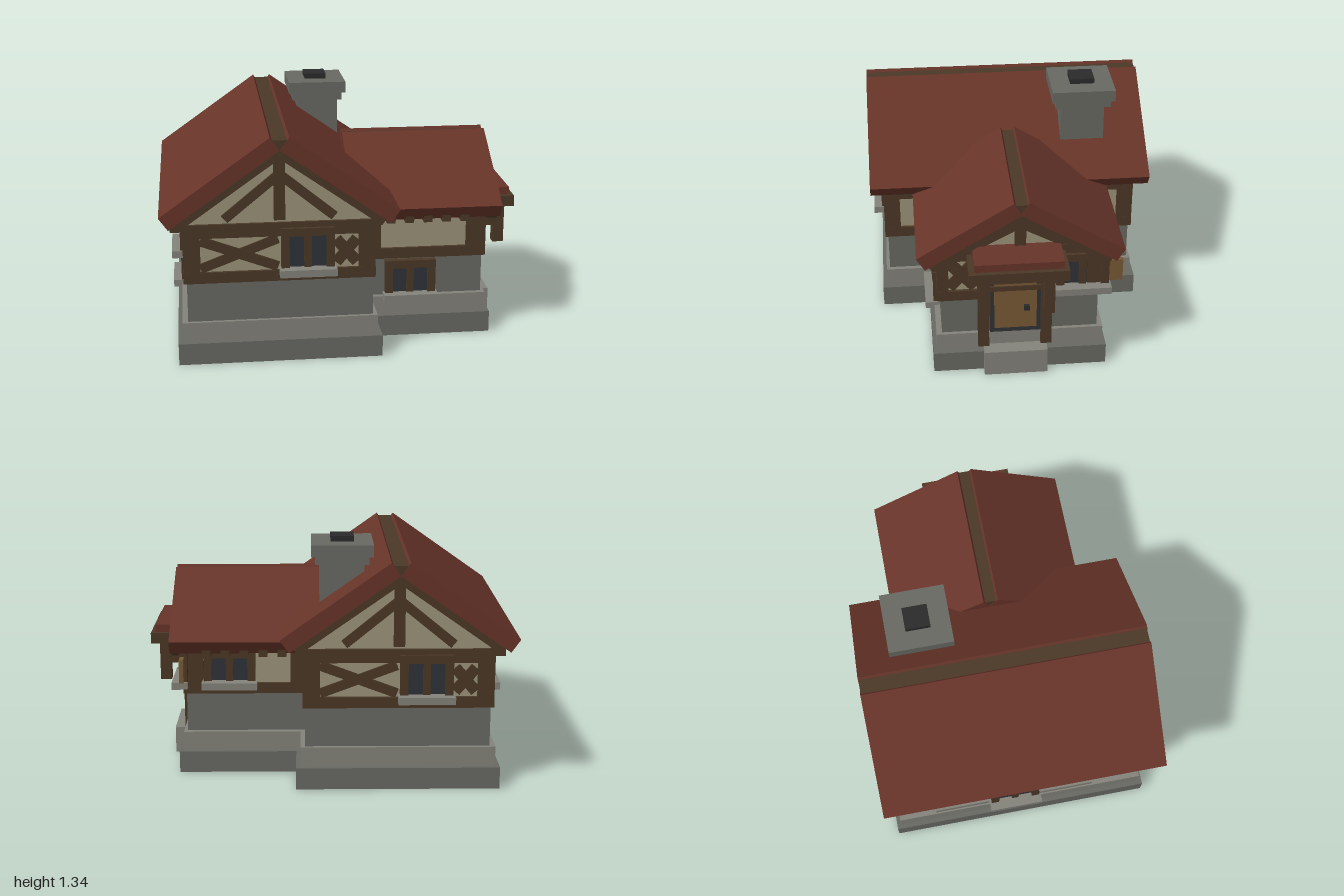
import * as THREE from 'three';

const mat = (color) => new THREE.MeshStandardMaterial({ color, flatShading: true });
const M = {
  stone: mat(0x696963), lightStone: mat(0x84837b), timber: mat(0x4b3826), plaster: mat(0x9d947b),
  roof: mat(0x673429), glass: mat(0x2f3238), wood: mat(0x785a35), dark: mat(0x2b2b2b),
};

// Box given by its extents
function box(parent, name, m, x0, x1, y0, y1, z0, z1) {
  const mesh = new THREE.Mesh(new THREE.BoxGeometry(x1 - x0, y1 - y0, z1 - z0), M[m]);
  mesh.position.set((x0 + x1) / 2, (y0 + y1) / 2, (z0 + z1) / 2);
  mesh.name = name;
  parent.add(mesh);
  return mesh;
}

// Polygon in x-y, extruded from z0 to z1
function prism(parent, name, m, pts, z0, z1) {
  const shape = new THREE.Shape(pts.map(([x, y]) => new THREE.Vector2(x, y)));
  const geo = new THREE.ExtrudeGeometry(shape, { depth: z1 - z0, bevelEnabled: false });
  geo.translate(0, 0, z0);
  const mesh = new THREE.Mesh(geo, M[m]);
  mesh.name = name;
  parent.add(mesh);
}

// Wall-local frame: x along the wall, y up, z outwards
function face(parent, name, x, z, turn) {
  const g = new THREE.Group();
  g.name = name;
  g.position.set(x, 0, z);
  g.rotation.y = turn * Math.PI / 2;
  parent.add(g);
  return g;
}

const beam = (f, x0, x1, y0, y1, d = 0.015) => box(f, 'beam', 'timber', x0, x1, y0, y1, -0.01, d);

// Slanted beam between two points on a wall
function brace(f, xa, ya, xb, yb, w, d = 0.012) {
  const len = Math.hypot(xb - xa, yb - ya);
  const b = box(f, 'brace', 'timber', -len / 2, len / 2, -w / 2, w / 2, -0.01, d);
  b.position.set((xa + xb) / 2, (ya + yb) / 2, d / 2 - 0.005);
  b.rotation.z = Math.atan2(yb - ya, xb - xa);
}

function cross(f, x0, x1, y0, y1, w) {
  brace(f, x0, y0, x1, y1, w, 0.011);
  brace(f, x0, y1, x1, y0, w, 0.013);
}

// Two-pane window with timber frame and stone sill
function windowUnit(f, cx, y0, h) {
  const g = new THREE.Group();
  g.name = 'window';
  g.position.set(cx, y0, 0);
  f.add(g);
  box(g, 'glass', 'glass', -0.12, 0.12, 0, h - 0.03, -0.01, 0.012);
  for (const s of [-1, 1]) box(g, 'frameSide', 'timber', s * 0.12 - 0.022, s * 0.12 + 0.022, 0, h, -0.01, 0.032);
  box(g, 'mullion', 'timber', -0.02, 0.02, 0, h - 0.02, -0.01, 0.025);
  box(g, 'frameTop', 'timber', -0.142, 0.142, h - 0.045, h, -0.01, 0.035);
  box(g, 'sill', 'lightStone', -0.152, 0.152, -0.025, 0.015, -0.01, 0.077);
}

// Horizontal beams and corner posts of one timbered wall
function wallFrame(f, half, top, post = 0.09) {
  beam(f, -half, half, 0.45, 0.51, 0.017);
  beam(f, -half, half, 0.70, top, 0.017);
  for (const s of [-1, 1]) beam(f, s * (half - post / 2) - post / 2, s * (half - post / 2) + post / 2, 0.45, top, 0.016);
}

function rafters(f, from, to, n, y0, out) {
  for (let i = 0; i < n; i++) {
    const x = from + (to - from) * i / (n - 1);
    box(f, 'rafterEnd', 'timber', x - 0.024, x + 0.024, y0, y0 + 0.05, 0, out);
  }
}

// King post and two braces in a gable
function gableFrame(f, y0, y1, yb, reach) {
  beam(f, -0.03, 0.03, y0, y1, 0.02);
  for (const s of [-1, 1]) brace(f, s * 0.01, yb, s * reach, y0 + 0.01, 0.05);
}

// Gabled roof across local x: slabs, verge boards and ridge beam
function gableRoof(parent, name, x, turn, r) {
  const g = face(parent, name, x, 0, turn);
  const dx = r.eave - r.gap, dy = r.top - r.eaveY, len = Math.hypot(dx, dy);
  const nx = -dy / len, ny = -dx / len, t = 0.085, b = 0.04;
  for (const s of [-1, 1]) {
    const strip = (u0, u1, d0, d1) => [[u0, d0], [u1, d0], [u1, d1], [u0, d1]].map(([u, d]) =>
      [s * (r.gap + dx * u + nx * d), r.top - dy * u + ny * d]);
    prism(g, 'roofSlab', 'roof', strip(0, 1, 0, t), r.z0, r.z1);
    for (const z of r.verges) prism(g, 'vergeBoard', 'timber', strip(0.02, 0.96, t - 0.003, t + b), z - 0.03, z + 0.03);
  }
  box(g, 'ridgeBeam', 'timber', -0.043, 0.043, r.top - 0.1, r.top - 0.015, r.z0 + 0.003, r.z1 - 0.003);
}

export function createModel() {
  const model = new THREE.Group();
  model.name = 'house';

  // Stone plinths and ground floor
  box(model, 'mainPlinth', 'stone', -0.92, 0.18, 0, 0.12, -0.745, 0.745);
  box(model, 'mainPlinthUpper', 'lightStone', -0.895, 0.155, 0.12, 0.23, -0.72, 0.72);
  box(model, 'mainStoneWall', 'stone', -0.865, 0.13, 0.23, 0.46, -0.7, 0.7);
  box(model, 'wingPlinth', 'stone', 0.1, 0.83, 0, 0.12, -0.475, 0.475);
  box(model, 'wingPlinthUpper', 'lightStone', 0.1, 0.805, 0.12, 0.23, -0.455, 0.455);
  box(model, 'wingStoneWall', 'stone', 0.1, 0.785, 0.23, 0.46, -0.425, 0.425);
  box(model, 'doorStep', 'lightStone', 0.78, 0.885, 0, 0.15, -0.145, 0.2);

  // Plastered upper floor
  box(model, 'mainPlaster', 'plaster', -0.865, 0.125, 0.452, 0.79, -0.7, 0.7);
  box(model, 'wingPlaster', 'plaster', 0.1, 0.785, 0.452, 0.74, -0.428, 0.428);

  // Main gable walls, front and back alike
  for (const [name, z, turn] of [['frontWall', 0.7, 0], ['backWall', -0.7, 2]]) {
    const f = face(model, name, -0.37, z, turn);
    prism(f, 'gablePanel', 'plaster', [[-0.49, 0.77], [0.49, 0.77], [0.49, 0.83], [0, 1.17], [-0.49, 0.83]], -0.04, 0);
    wallFrame(f, 0.51, 0.775);
    cross(f, -0.42, -0.01, 0.53, 0.685, 0.052);
    windowUnit(f, 0.148, 0.51, 0.235);
    cross(f, 0.3, 0.41, 0.54, 0.67, 0.06);
    gableFrame(f, 0.79, 1.13, 1.03, 0.29);
  }

  // Left side wall
  const left = face(model, 'leftWall', -0.865, 0, -1);
  wallFrame(left, 0.715, 0.78);
  for (const z of [-0.35, 0.25]) windowUnit(left, z, 0.51, 0.22);
  windowUnit(left, -0.03, 0.235, 0.205);
  beam(left, -0.1, -0.04, 0.5, 0.71);
  cross(left, -0.19, -0.09, 0.54, 0.67, 0.05);
  cross(left, -0.04, 0.08, 0.54, 0.67, 0.05);
  cross(left, 0.43, 0.61, 0.53, 0.68, 0.05);
  cross(left, -0.61, -0.51, 0.54, 0.67, 0.05);
  rafters(left, -0.62, 0.62, 12, 0.715, 0.08);

  // Right side of the main block, beside the wing
  wallFrame(face(model, 'rightWall', 0.125, 0, 1), 0.715, 0.78);

  // Long walls of the wing
  for (const [name, z, turn] of [['wingFrontWall', 0.428, 0], ['wingBackWall', -0.428, 2]]) {
    const f = face(model, name, 0.465, z, turn);
    const s = turn ? -1 : 1;
    beam(f, -0.325, 0.325, 0.45, 0.51, 0.017);
    beam(f, -0.325, 0.325, 0.68, 0.74, 0.017);
    beam(f, Math.min(s * 0.225, s * 0.325), Math.max(s * 0.225, s * 0.325), 0.45, 0.74, 0.016);
    beam(f, Math.min(s * -0.325, s * -0.255), Math.max(s * -0.325, s * -0.255), 0.45, 0.74, 0.016);
    rafters(f, s * -0.21, s * 0.2, 5, 0.68, 0.09);
    if (turn) windowUnit(f, -0.08, 0.51, 0.19);
    else windowUnit(f, -0.088, 0.235, 0.205);
  }

  // Wing gable wall
  const end = face(model, 'wingEndWall', 0.785, 0, 1);
  prism(end, 'gablePanel', 'plaster', [[-0.428, 0.7], [0.428, 0.7], [0.428, 0.74], [0, 1.0], [-0.428, 0.74]], -0.04, 0);
  wallFrame(end, 0.443, 0.775, 0.06);
  cross(end, -0.38, -0.24, 0.53, 0.69, 0.065);
  windowUnit(end, 0.335, 0.51, 0.21);
  box(end, 'shutterClosed', 'timber', 0.36, 0.43, 0.525, 0.69, 0, 0.02);
  box(end, 'shutter', 'wood', 0.45, 0.55, 0.54, 0.67, 0.005, 0.028);
  gableFrame(end, 0.775, 0.95, 0.91, 0.24);

  // Door with transom (wall x runs towards -z)
  const door = new THREE.Group();
  door.name = 'door';
  end.add(door);
  beam(door, -0.2, 0.15, 0.59, 0.69, 0.025);
  box(door, 'doorFrame', 'glass', -0.165, 0.112, 0.23, 0.602, -0.01, 0.02);
  box(door, 'doorLeaf', 'wood', -0.14, 0.09, 0.26, 0.51, 0, 0.027);
  box(door, 'transomPanel', 'wood', -0.14, 0.09, 0.53, 0.575, 0, 0.027);
  box(door, 'transomBar', 'timber', -0.165, 0.112, 0.505, 0.535, 0, 0.032);
  box(door, 'handle', 'dark', 0.02, 0.05, 0.38, 0.41, 0.02, 0.045);

  // Porch posts, brackets and canopy
  const porch = new THREE.Group();
  porch.name = 'porch';
  end.add(porch);
  for (const x of [-0.2, 0.142]) {
    box(porch, 'doorPost', 'timber', x - 0.03, x + 0.03, 0.15, 0.68, -0.01, 0.04);
    box(porch, 'bracket', 'timber', x - 0.022, x + 0.022, 0.55, 0.68, 0, 0.15);
    box(porch, 'hangingPost', 'timber', x - 0.028, x + 0.028, 0.45, 0.69, 0.11, 0.172);
  }
  box(porch, 'canopyFrame', 'timber', -0.285, 0.24, 0.68, 0.742, 0, 0.213);
  box(porch, 'canopyRoof', 'roof', -0.255, 0.215, 0.742, 0.785, 0, 0.188);

  // Roofs
  gableRoof(model, 'mainRoof', -0.37, 0,
    { gap: 0.05, top: 1.253, eave: 0.63, eaveY: 0.843, z0: -0.785, z1: 0.785, verges: [-0.74, 0.74] });
  gableRoof(model, 'wingRoof', 0, 1,
    { gap: 0.04, top: 1.08, eave: 0.55, eaveY: 0.77, z0: 0.04, z1: 0.865, verges: [0.825] });

  // Chimney
  const chimney = new THREE.Group();
  chimney.name = 'chimney';
  model.add(chimney);
  box(chimney, 'stack', 'stone', -0.19, 0.05, 0.88, 1.21, -0.545, -0.3);
  box(chimney, 'collar', 'stone', -0.215, 0.073, 1.2, 1.245, -0.58, -0.268);
  box(chimney, 'cap', 'stone', -0.237, 0.095, 1.245, 1.31, -0.6, -0.248);
  box(chimney, 'flue', 'dark', -0.135, -0.01, 1.3, 1.34, -0.493, -0.357);

  return model;
}
